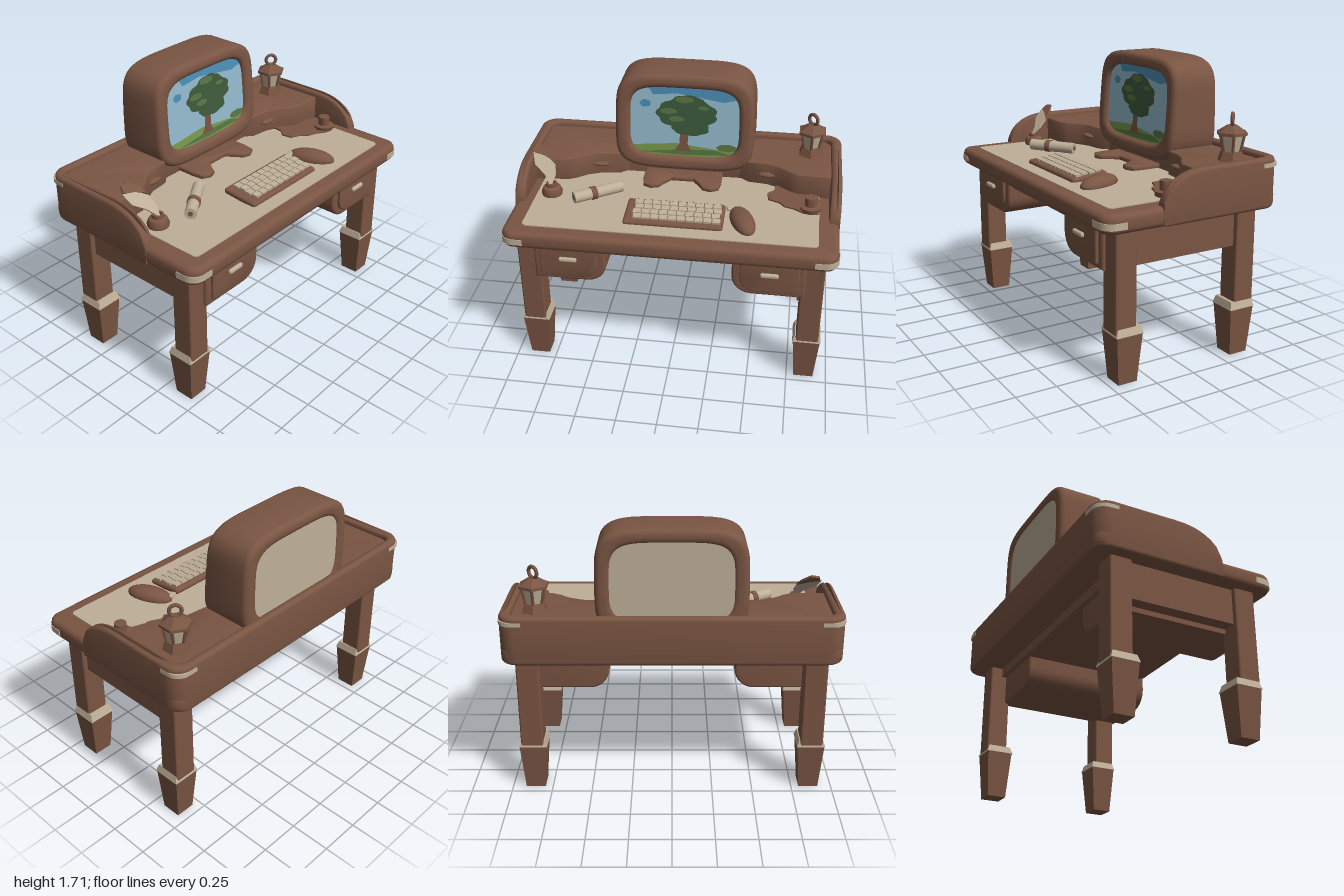
import * as THREE from 'three';
import { toCreasedNormals } from 'three/addons/utils/BufferGeometryUtils.js';
import { RoundedBoxGeometry } from 'three/addons/geometries/RoundedBoxGeometry.js';

const material = (name, color, side = THREE.FrontSide) => {
  const m = new THREE.MeshStandardMaterial({ color, side });
  m.name = name;
  return m;
};

export function createModel() {
  const root = new THREE.Group();
  root.name = 'writingDesk';
  const wood = material('brown wood', 0x7a5543);
  const cream = material('cream', 0xbfaf98);
  const sky = material('sky blue', 0x93bbcd);
  const deepSky = material('deep blue', 0x4c8fb8);
  const canopyGreen = material('dark green', 0x3d5a3c);
  const leafGreen = material('leaf green', 0x5a7644);
  const grassGreen = material('grass green', 0x789a4c);

  const add = (name, geo, mat, x = 0, y = 0, z = 0, parent = root) => {
    const mesh = new THREE.Mesh(geo, mat);
    mesh.name = name;
    mesh.position.set(x, y, z);
    parent.add(mesh);
    return mesh;
  };
  const poly = pts => new THREE.Shape(pts.map(p => new THREE.Vector2(p[0], p[1])));
  const extrude = (shape, depth, bevel, z0) => {
    const geo = new THREE.ExtrudeGeometry(shape, {
      depth: depth - 2 * bevel, bevelEnabled: bevel > 0, bevelSize: bevel, bevelThickness: bevel,
      bevelOffset: -bevel, bevelSegments: 4, curveSegments: 10,
    });
    return geo.translate(0, 0, z0 + bevel);
  };
  const smooth = geo => toCreasedNormals(geo, 0.7);
  // Plan outline given as [x, z], raised from y0 to y1
  const plan = (pts, y0, y1, bevel) =>
    extrude(poly(pts.map(([x, z]) => [x, -z])), y1 - y0, bevel, y0).rotateX(-Math.PI / 2);
  // Rounded corner points, centre (cx, cz), from angle a to b
  const arc = (cx, cz, r, a, b, n = 8) => Array.from({ length: n + 1 }, (_, i) => {
    const t = a + (b - a) * i / n;
    return [cx + r * Math.cos(t), cz + r * Math.sin(t)];
  });
  const H = Math.PI / 2;
  const roundRect = (x0, x1, z0, z1, r) => [
    ...arc(x1 - r, z1 - r, r, 0, H), ...arc(x0 + r, z1 - r, r, H, 2 * H),
    ...arc(x0 + r, z0 + r, r, 2 * H, 3 * H), ...arc(x1 - r, z0 + r, r, 3 * H, 4 * H)];

  // Table top, writing mat and underside board
  add('tableTop', smooth(plan(roundRect(-0.997, 0.997, -0.575, 0.58, 0.08), 0.9, 1.012, 0.035)), wood);
  add('writingMat', plan(roundRect(-0.885, 0.875, -0.24, 0.49, 0.03), 1.01, 1.018, 0), cream);
  add('undersideBoard', new THREE.BoxGeometry(1.6, 0.08, 0.86), wood, 0, 0.88, 0.04);

  // U-shaped gallery wall whose arms sweep down towards the front
  const armZ = Array.from({ length: 19 }, (_, i) => 0.22 - i * 0.035);
  const wallHeight = z => {
    const t = Math.min(1, Math.max(0, (0.22 - z) / 0.3));
    return 0.1 + 0.2 * Math.sqrt(1 - (1 - t) ** 2.3);
  };
  const wall = plan([
    ...armZ.map(z => [1, z]), ...arc(0.9, -0.48, 0.1, 0, -H), ...arc(-0.9, -0.48, 0.1, -H, -2 * H),
    ...[...armZ].reverse().map(z => [-1, z]), ...armZ.map(z => [-0.935, z]),
    ...arc(-0.88, -0.47, 0.055, -2 * H, -H), ...arc(0.88, -0.47, 0.055, -H, 0),
    ...[...armZ].reverse().map(z => [0.935, z])], 0.9, 1.2, 0.022);
  const wp = wall.attributes.position;
  for (let i = 0; i < wp.count; i++) {
    wp.setY(i, 0.9 + (wp.getY(i) - 0.9) * wallHeight(wp.getZ(i)) / 0.3);
  }
  add('galleryWall', smooth(wall), wood);

  // Curved shelf inside the wall, with small drawer pulls
  const edge = [[0.95, -0.07], [0.74, -0.07], [0.68, -0.1], [0.62, -0.15], [0.54, -0.185], [0.42, -0.2], [0.36, -0.25]];
  add('shelf', smooth(plan([[0.95, -0.55], ...edge,
    ...edge.map(([x, z]) => [-x, z]).reverse(), [-0.95, -0.55]], 1, 1.165, 0.012)), wood);
  for (const s of [-1, 1]) {
    const pull = add('shelfPull', new THREE.SphereGeometry(1, 16, 10), wood, s * 0.54, 1.09, -0.18);
    pull.scale.set(0.06, 0.016, 0.025);
  }

  // Cream corner caps on table top and wall
  const cap = (sx, sz, y0, y1) => plan([[0.86, 0.57], [0.86, 0.584], ...arc(0.92, 0.504, 0.08, H, 0),
    [1.003, 0.45], [0.99, 0.45], ...arc(0.92, 0.504, 0.065, 0, H)].map(([x, z]) => [sx * x, sz * z]), y0, y1, 0);
  for (const s of [-1, 1]) {
    add('frontCornerCap', cap(s, 1, 0.93, 0.968), cream);
    add('backCornerCap', cap(s, -1, 1.145, 1.17), cream);
  }

  // Square legs with flared feet and cream cuffs
  const taper = (top, bottom, h) =>
    toCreasedNormals(new THREE.CylinderGeometry(top * Math.SQRT2, bottom * Math.SQRT2, h, 4).rotateY(Math.PI / 4), 0.5);
  for (const sx of [-1, 1]) for (const sz of [-1, 1]) {
    const leg = new THREE.Group();
    leg.name = sz > 0 ? 'frontLeg' : 'backLeg';
    leg.position.set(sx * 0.857, 0, sz > 0 ? 0.392 : -0.383);
    root.add(leg);
    add('foot', taper(0.083, 0.06, 0.3), wood, 0, 0.15, 0, leg);
    add('cuff', taper(0.073, 0.087, 0.045), cream, 0, 0.317, 0, leg);
    add('post', new RoundedBoxGeometry(0.14, 0.62, 0.135, 3, 0.012), wood, 0.003 * sx, 0.61, sz > 0 ? 0.018 : -0.016, leg);
  }

  // Drawer pedestals with rounded inner corners, side rails and handles
  const pedestal = (s, x0, x1, y0, y1, r) => poly([
    [x1, y1], [x0, y1], ...arc(x0 + r, y0 + r, r, 2 * H, 3 * H), [x1, y0]].map(([x, y]) => [s * x, y]));
  for (const s of [-1, 1]) {
    add('drawerPedestal', smooth(extrude(pedestal(s, 0.38, 0.82, 0.65, 0.91, 0.12), 0.86, 0.015, -0.36)), wood);
    add('drawerFront', smooth(extrude(pedestal(s, 0.43, 0.78, 0.685, 0.885, 0.09), 0.03, 0.008, 0.488)), wood);
    add('sideRail', new THREE.BoxGeometry(0.09, 0.23, 0.74), wood, s * 0.855, 0.795, 0.01);
    add('drawerHandle', new RoundedBoxGeometry(0.11, 0.03, 0.025, 3, 0.012), cream, s * 0.605, 0.815, 0.527);
  }

  // Monitor: bevelled shell leaning back slightly at the front
  const oval = (a, b, cy, n = 4.6) => Array.from({ length: 64 }, (_, i) => {
    const t = i / 64 * Math.PI * 2, c = Math.cos(t), s = Math.sin(t);
    return [a * Math.sign(c) * Math.abs(c) ** (2 / n), cy + b * Math.sign(s) * Math.abs(s) ** (2 / n)];
  });
  const lean = geo => {
    const p = geo.attributes.position;
    for (let i = 0; i < p.count; i++) {
      const k = Math.max(0, (p.getZ(i) + 0.54) / 0.33);
      p.setXYZ(i, p.getX(i) * (1 - 0.05 * (p.getY(i) - 1.39)), p.getY(i), p.getZ(i) - 0.07 * k * (p.getY(i) - 1.39));
    }
    geo.computeVertexNormals();
    return geo;
  };
  const monitor = new THREE.Group();
  monitor.name = 'monitor';
  root.add(monitor);
  const shell = poly(oval(0.44, 0.318, 1.388));
  shell.holes.push(poly(oval(0.345, 0.228, 1.393)));
  add('monitorShell', smooth(lean(extrude(shell, 0.33, 0.035, -0.54))), wood, 0, 0, 0, monitor);
  add('backPanel', extrude(poly(oval(0.37, 0.25, 1.393)), 0.02, 0, -0.53), cream, 0, 0, 0, monitor);

  // Screen picture in thin layers
  const layer = (name, pts, mat, level) =>
    add(name, lean(new THREE.ShapeGeometry(poly(pts)).translate(0, 0, -0.238 + level * 0.002)), mat, 0, 0, 0, monitor);
  const screen = oval(0.352, 0.235, 1.393);
  const blob = (x, y, a, b, lobes, phase = 0) => Array.from({ length: 40 }, (_, i) => {
    const t = i / 40 * Math.PI * 2, r = 0.92 + 0.1 * Math.abs(Math.sin(lobes * t / 2 + phase));
    return [x + a * r * Math.cos(t), y + b * r * Math.sin(t)];
  });
  layer('sky', screen, sky, 0);
  layer('upperSky', [...screen.filter(([x, y]) => y > 1.555 && x > -0.24), [-0.2, 1.57], [-0.05, 1.585], [0.12, 1.56], [0.25, 1.54]], deepSky, 1);
  layer('skyPatch', blob(-0.25, 1.51, 0.035, 0.025, 5), deepSky, 1);
  layer('grass', [...screen.filter(([, y]) => y < 1.225), [0.2, 1.22], [-0.05, 1.25], [-0.2, 1.235]], grassGreen, 1);
  layer('grassShade', [[-0.28, 1.18], [0.0, 1.172], [0.3, 1.185], [0.2, 1.215], [0, 1.21]], leafGreen, 2);
  layer('farBushes', blob(0.27, 1.235, 0.065, 0.025, 7), leafGreen, 2);
  layer('trunk', [[-0.06, 1.2], [0.045, 1.2], [0.022, 1.25], [0.03, 1.35], [-0.025, 1.35], [-0.03, 1.25]], wood, 3);
  layer('canopy', blob(0.015, 1.455, 0.195, 0.105, 9), canopyGreen, 4);
  layer('canopyCrown', blob(0.02, 1.53, 0.11, 0.05, 7), canopyGreen, 5);
  layer('canopySkirt', blob(0.04, 1.36, 0.12, 0.05, 7), canopyGreen, 5);
  for (const [x, y, a] of [[-0.1, 1.47, 0.055], [0, 1.55, 0.06], [-0.05, 1.42, 0.05], [0.12, 1.5, 0.035]]) {
    layer('leafHighlight', blob(x, y, a, a * 0.38, 6, x), leafGreen, 6);
  }

  // Two-toed monitor stand
  const toe = [[0, -0.15], [0.07, -0.15], [0.11, -0.1], [0.14, -0.05], [0.19, -0.035], [0.24, -0.06], [0.25, -0.13], [0.25, -0.26]];
  add('monitorStand', smooth(plan([...toe, ...toe.slice(1).map(([x, z]) => [-x, z]).reverse()], 1.01, 1.045, 0.01)), wood);

  // Keyboard, sloped, with four rows of keys
  const keyboard = new THREE.Group();
  keyboard.name = 'keyboard';
  keyboard.position.set(0.01, 1.032, 0.28);
  keyboard.rotation.x = 0.1;
  root.add(keyboard);
  add('keyboardBase', new RoundedBoxGeometry(0.6, 0.04, 0.24, 3, 0.018), wood, 0, 0, 0, keyboard);
  for (let r = 0; r < 4; r++) for (let c = 0; c < 10; c++) {
    add('key', new THREE.BoxGeometry(0.047, 0.018, 0.039), cream, -0.225 + c * 0.053 + (r % 2) * 0.008, 0.024, -0.07 + r * 0.046, keyboard);
  }

  // Mouse
  const mouse = add('mouse', new THREE.SphereGeometry(1, 24, 16), wood, 0.42, 1.025, 0.285);
  mouse.scale.set(0.07, 0.055, 0.15);
  mouse.rotation.y = 0.35;
  const button = add('mouseButton', new RoundedBoxGeometry(0.06, 0.02, 0.035, 2, 0.008), cream, 0.345, 1.04, 0.17);
  button.rotation.y = 0.35;

  // Rolled scroll with a tie
  const scroll = new THREE.Group();
  scroll.name = 'scroll';
  scroll.position.set(-0.495, 1.055, 0.115);
  scroll.rotation.y = 0.6;
  root.add(scroll);
  const roll = (name, r, len, mat, x = 0) => add(name, new THREE.CylinderGeometry(r, r, len, 20).rotateZ(H), mat, x, 0, 0, scroll);
  roll('scrollPaper', 0.036, 0.32, cream);
  roll('scrollTie', 0.041, 0.035, wood, -0.03);
  for (const s of [-1, 1]) roll('scrollCore', 0.015, 0.01, wood, s * 0.158);

  // Inkwell and quill
  const jar = [[0, 0], [0.062, 0], [0.066, 0.02], [0.055, 0.05], [0.035, 0.06], [0.035, 0.08], [0.022, 0.08], [0.02, 0.06], [0, 0.06]];
  const lathe = pts => smooth(new THREE.LatheGeometry(pts.map(p => new THREE.Vector2(...p)), 24).toNonIndexed());
  add('inkwell', lathe(jar), wood, -0.79, 1.015, 0.11);
  const quill = new THREE.Group();
  quill.name = 'quill';
  quill.position.set(-0.79, 1.07, 0.13);
  quill.rotation.x = -Math.PI / 4;
  root.add(quill);
  add('feather', extrude(poly([[0, 0], [0.02, 0.08], [0.01, 0.15], [-0.05, 0.2], [-0.14, 0.22], [-0.12, 0.14], [-0.05, 0.08]]), 0.009, 0, 0), cream, 0, 0, 0, quill);
  add('featherTip', extrude(poly([[0.01, 0.16], [-0.02, 0.22], [-0.07, 0.275], [-0.12, 0.26], [-0.13, 0.22], [-0.06, 0.2]]), 0.014, 0, -0.002), wood, 0, 0, 0, quill);

  // Ragged leather scrap and candle cup
  add('leatherScrap', plan([[0.6, -0.18], [0.72, -0.16], [0.86, -0.1], [0.88, 0.02], [0.87, 0.14], [0.78, 0.14],
    [0.72, 0.1], [0.66, 0.08], [0.63, 0.04], [0.56, 0.01], [0.55, -0.06], [0.59, -0.1]], 1.012, 1.03, 0.004), wood);
  add('candleCup', lathe([[0, 0], [0.06, 0], [0.068, 0.03], [0.055, 0.03], [0.036, 0.035], [0.036, 0.09], [0, 0.09]]), wood, 0.82, 1.02, 0.09);

  // Hexagonal lantern with ring
  const lantern = new THREE.Group();
  lantern.name = 'lantern';
  lantern.position.set(0.805, 1.16, -0.37);
  root.add(lantern);
  const hex = (name, top, bottom, y0, y1, mat) => add(name,
    toCreasedNormals(new THREE.CylinderGeometry(top, bottom, y1 - y0, 6), 0.3), mat, 0, (y0 + y1) / 2, 0, lantern);
  hex('lanternBase', 0.065, 0.085, 0, 0.06, wood);
  hex('lanternGlass', 0.074, 0.052, 0.055, 0.16, cream);
  hex('lanternEaves', 0.094, 0.094, 0.155, 0.172, wood);
  hex('lanternRoof', 0.03, 0.09, 0.17, 0.21, wood);
  for (let i = 0; i < 6; i++) {
    const a = i * Math.PI / 3, dir = new THREE.Vector3(Math.sin(a), 0, Math.cos(a));
    const foot = dir.clone().multiplyScalar(0.053).setY(0.055), head = dir.clone().multiplyScalar(0.075).setY(0.16);
    add('lanternBar', new THREE.TubeGeometry(new THREE.LineCurve3(foot, head), 1, 0.009, 6), wood, 0, 0, 0, lantern);
  }
  const ring = add('lanternRing', new THREE.TorusGeometry(0.034, 0.011, 8, 24), wood, 0, 0.243, 0, lantern);
  ring.rotation.y = -0.7;

  return root;
}
